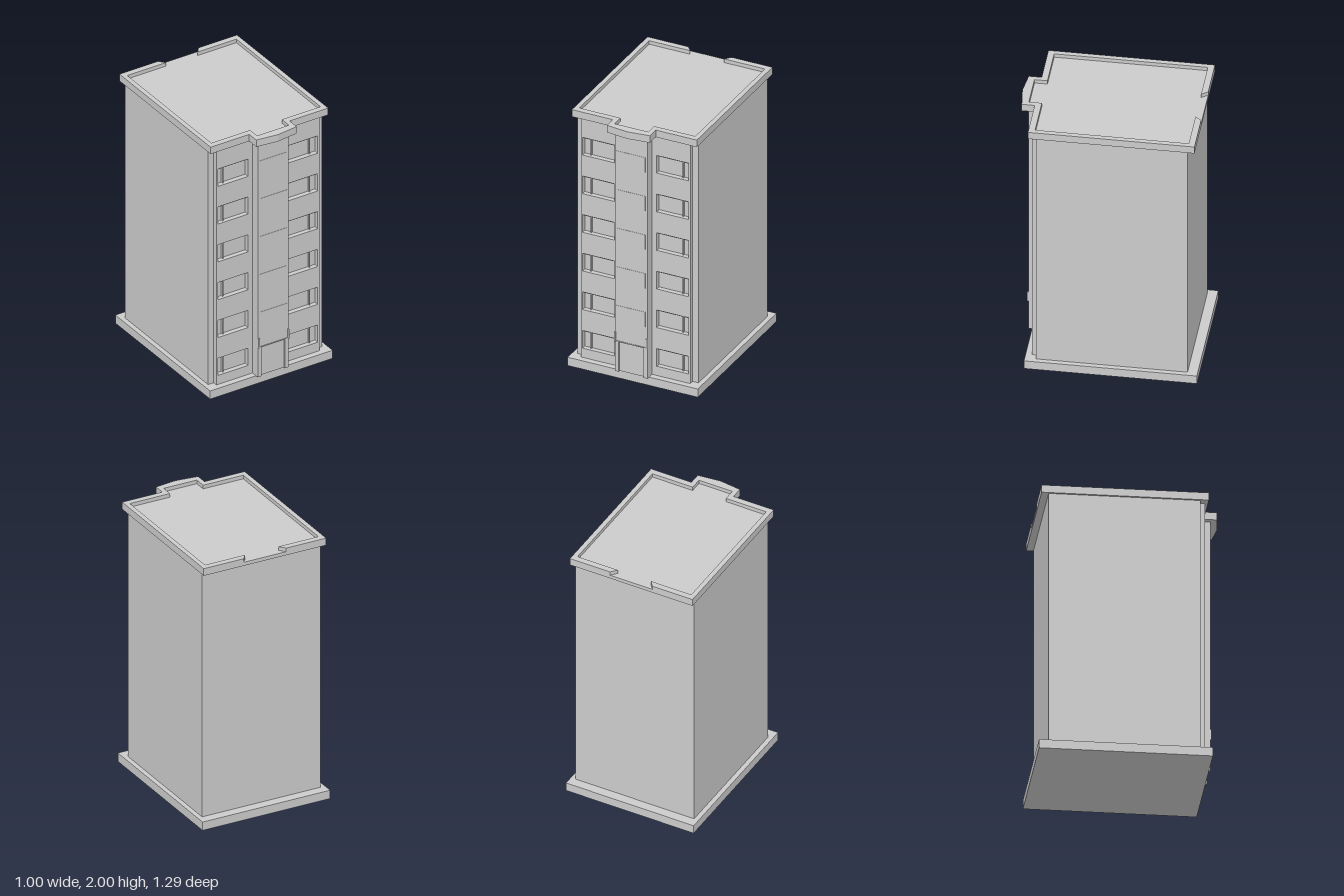
import * as THREE from 'three';

const material = new THREE.MeshStandardMaterial({ color: 0xcccccc, flatShading: true });

export function createModel() {
  const group = new THREE.Group();
  group.name = 'apartmentBlock';

  const add = (name, geometry, parent = group) => {
    const mesh = new THREE.Mesh(geometry, material);
    mesh.name = name;
    parent.add(mesh);
    return mesh;
  };

  // Box given by its minimum and maximum corners
  const box = (name, x0, x1, y0, y1, z0, z1, parent) => {
    const mesh = add(name, new THREE.BoxGeometry(x1 - x0, y1 - y0, z1 - z0), parent);
    mesh.position.set((x0 + x1) / 2, (y0 + y1) / 2, (z0 + z1) / 2);
    return mesh;
  };

  // Plan outline of [x, z] points, raised from y0 to y1
  const slab = (name, points, y0, y1) => {
    const shape = new THREE.Shape(points.map(([x, z]) => new THREE.Vector2(x, -z)));
    const geometry = new THREE.ExtrudeGeometry(shape, { depth: y1 - y0, bevelEnabled: false });
    geometry.rotateX(-Math.PI / 2);
    add(name, geometry).position.y = y0;
  };

  const rect = (path, x0, x1, y0, y1) =>
    path.moveTo(x0, y0).lineTo(x1, y0).lineTo(x1, y1).lineTo(x0, y1).closePath();

  const baseTop = 0.065, wallTop = 1.945, floors = 6, storey = 0.303;

  // Plinth and main block
  box('plinth', -0.5, 0.5, 0, baseTop, -0.645, 0.555);
  box('mainBlock', -0.465, 0.465, baseTop, wallTop, -0.575, 0.475);

  // Front walls with window openings, one on each side of the bay
  for (const side of [-1, 1]) {
    const span = (a, b) => (side > 0 ? [a, b] : [-b, -a]);
    const wall = new THREE.Shape();
    rect(wall, ...span(0.12, 0.42), baseTop, wallTop);
    const sideName = side > 0 ? 'left' : 'right';

    for (let i = 0; i < floors; i++) {
      const y = 0.137 + i * storey, top = y + 0.138;
      const hole = new THREE.Path();
      rect(hole, ...span(0.162, 0.407), y, top);
      wall.holes.push(hole);

      // Frame bars inside the opening
      const frame = new THREE.Group();
      frame.name = `${sideName}WindowFrame${i + 1}`;
      box('mullion', ...span(0.35, 0.358), y, top, 0.475, 0.49, frame);
      box('topRail', ...span(0.162, 0.407), top - 0.015, top, 0.475, 0.49, frame);
      group.add(frame);
    }
    const geometry = new THREE.ExtrudeGeometry(wall, { depth: 0.035, bevelEnabled: false });
    add(`${sideName}FrontWall`, geometry).position.z = 0.475;
  }

  // Central bay with an entrance recess at its foot
  box('bayCore', -0.125, 0.125, baseTop, wallTop, 0.475, 0.565);
  const bayFace = new THREE.Shape();
  bayFace.moveTo(-0.125, baseTop).lineTo(-0.095, baseTop).lineTo(-0.095, 0.3)
    .lineTo(0.095, 0.3).lineTo(0.095, baseTop).lineTo(0.125, baseTop)
    .lineTo(0.125, wallTop).lineTo(-0.125, wallTop).closePath();
  add('bayFace', new THREE.ExtrudeGeometry(bayFace, { depth: 0.015, bevelEnabled: false }))
    .position.z = 0.565;

  // Thin spandrel panels on the upper storeys of the bay
  for (let i = 1; i < floors; i++) {
    const y = 0.165 + i * storey;
    box(`bayPanel${i}`, -0.11, 0.11, y, y + 0.115, 0.575, 0.582);
  }

  // Entrance side fins and lintel
  for (const side of [-1, 1]) {
    const fin = box('entranceFin', -0.005, 0.005, 0.3, 0.375, 0.56, 0.588);
    fin.position.x = side * 0.12;
  }
  box('entranceLintel', -0.115, 0.115, 0.3, 0.306, 0.565, 0.584);

  // Roof slab following the bay
  slab('roofSlab', [
    [-0.48, -0.625], [-0.48, 0.53], [-0.165, 0.53], [-0.165, 0.62], [0, 0.64],
    [0.165, 0.62], [0.165, 0.53], [0.48, 0.53], [0.48, -0.625],
  ], wallTop, 1.972);

  // Parapet, left open along the middle of the back
  const outer = [[0.165, -0.625], [0.48, -0.625], [0.48, 0.53], [0.165, 0.53], [0.165, 0.62]];
  const inner = [[0.13, -0.58], [0.445, -0.58], [0.445, 0.485], [0.13, 0.485], [0.13, 0.575]];
  const mirror = (points) => points.map(([x, z]) => [-x, z]).reverse();
  slab('parapet', [
    ...outer, [0, 0.64], ...mirror(outer), ...mirror(mirror(inner)).map(([x, z]) => [-x, z]),
    ...mirror(inner).map(([x, z]) => [-x, z]).map(([x, z]) => [x, z]),
  ], 1.972, 2);

  return group;
}
